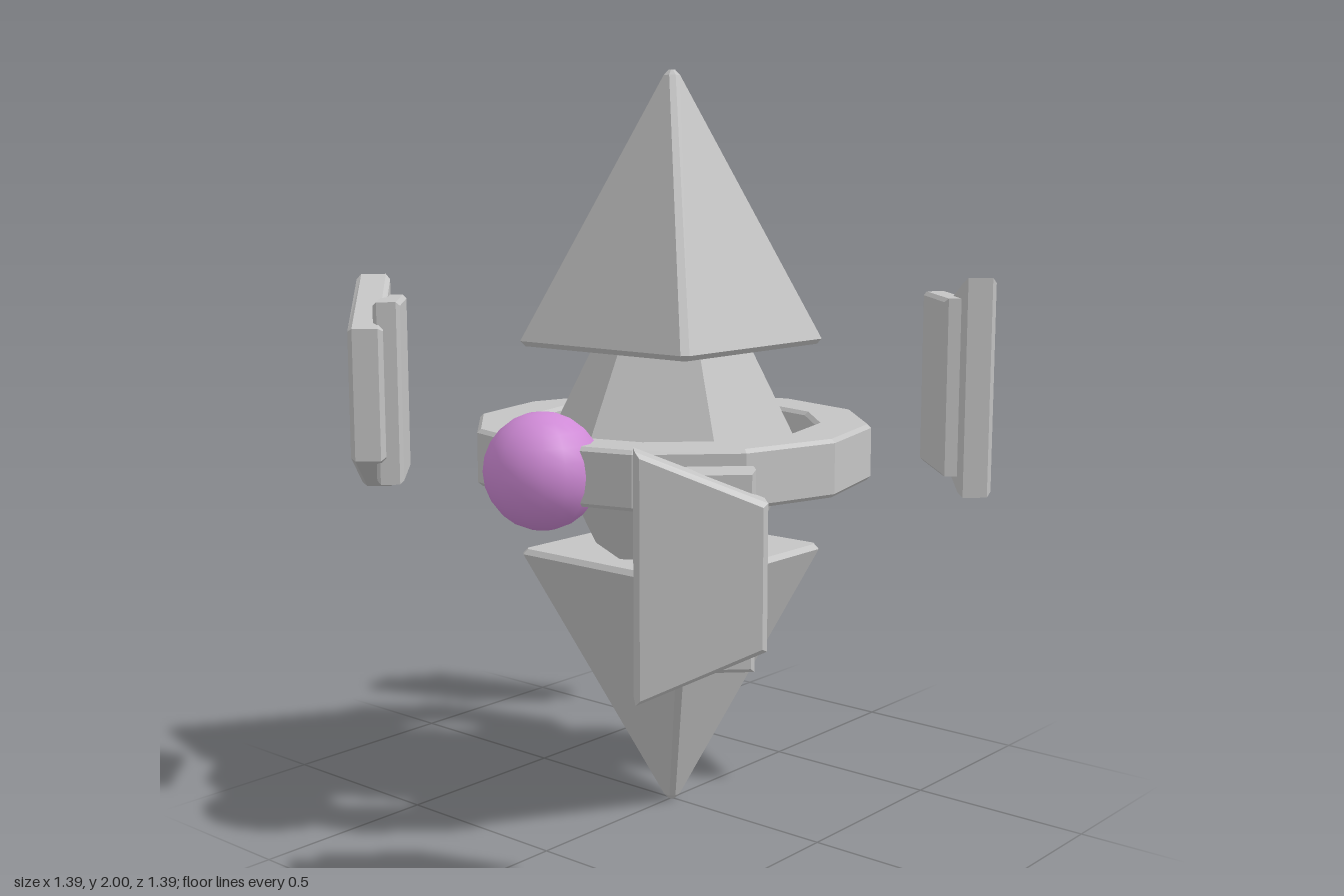
import * as THREE from 'three';
import { ConvexGeometry } from 'three/addons/geometries/ConvexGeometry.js';

const stone = new THREE.MeshStandardMaterial({ color: 0xc4c4c4 });
stone.name = 'pale grey';
const orb = new THREE.MeshStandardMaterial({ color: 0xcf8ad6 });
orb.name = 'orchid';

const MID = 1.002; // height of the plane of symmetry

function add(parent, name, geometry, material = stone) {
  const mesh = new THREE.Mesh(geometry, material);
  mesh.name = name;
  parent.add(mesh);
  return mesh;
}

// Extruded slab centred on z = 0 with a small chamfer kept inside its outline
function slab(shape, thickness, bevel) {
  const g = new THREE.ExtrudeGeometry(shape, {
    depth: thickness - 2 * bevel, bevelEnabled: true, bevelSegments: 1,
    bevelSize: bevel, bevelThickness: bevel, bevelOffset: -bevel, curveSegments: 1,
  });
  return g.translate(0, 0, -thickness / 2 + bevel);
}

const polygon = (points) => new THREE.Shape(points.map(([x, y]) => new THREE.Vector2(x, y)));

function regular(radius, sides) {
  return Array.from({ length: sides }, (_, i) => {
    const a = (i / sides) * Math.PI * 2;
    return [radius * Math.cos(a), radius * Math.sin(a)];
  });
}

// Pyramid with chamfered edges, from chamfered square sections [y, half width, cut]
function pyramidGeometry() {
  const sections = [
    [0.276, 0.283, 0.012],
    [0.290, 0.294, 0.016],
    [0.984, 0.021, 0.012],
    [0.998, 0.008, 0.004],
  ];
  const points = [];
  for (const [y, h, c] of sections) {
    for (const sx of [-1, 1]) for (const sz of [-1, 1]) {
      points.push(new THREE.Vector3(sx * h, y, sz * (h - c)));
      points.push(new THREE.Vector3(sx * (h - c), y, sz * h));
    }
  }
  return new ConvexGeometry(points);
}

export function createModel() {
  const model = new THREE.Group();
  model.name = 'floatingCrystal';

  // Upper and lower pyramids
  const pyramid = pyramidGeometry();
  add(model, 'upperPyramid', pyramid).position.y = MID;
  const lower = add(model, 'lowerPyramid', pyramid);
  lower.position.y = MID;
  lower.rotation.x = Math.PI;

  // Six-sided double cone in the middle
  const profile = [[0, -0.7], [0.35, 0], [0, 0.7]].map(([x, y]) => new THREE.Vector2(x, y));
  const core = new THREE.LatheGeometry(profile, 6).toNonIndexed();
  core.computeVertexNormals();
  add(model, 'core', core).position.y = MID;

  // Twelve-sided ring
  const ringShape = polygon(regular(0.537, 12));
  ringShape.holes.push(new THREE.Path(regular(0.392, 12).map(([x, y]) => new THREE.Vector2(x, y))));
  const ring = add(model, 'ring', slab(ringShape, 0.15, 0.01).rotateX(-Math.PI / 2));
  ring.position.y = MID;

  // Sphere set on the front of the ring
  add(model, 'orb', new THREE.SphereGeometry(0.149, 16, 12), orb).position.set(0, MID, 0.497);

  // Four floating shields, alternately low and high
  const outer = slab(polygon([[-0.15, -0.293], [0.15, -0.172], [0.15, 0.172], [-0.15, 0.293]]), 0.09, 0.012);
  const inner = slab(polygon([[-0.13, -0.238], [0.13, -0.238], [0.13, 0.238], [-0.13, 0.238]]), 0.07, 0.01);
  for (let i = 0; i < 4; i++) {
    const shield = new THREE.Group();
    shield.name = 'shield' + (i + 1);
    add(shield, 'outerPlate', outer).position.z = 0.8;
    add(shield, 'innerPlate', inner).position.z = 0.746;
    shield.position.y = MID + (i % 2 ? 0.167 : -0.167);
    shield.rotation.y = Math.PI / 4 + (i * Math.PI) / 2;
    model.add(shield);
  }
  return model;
}
